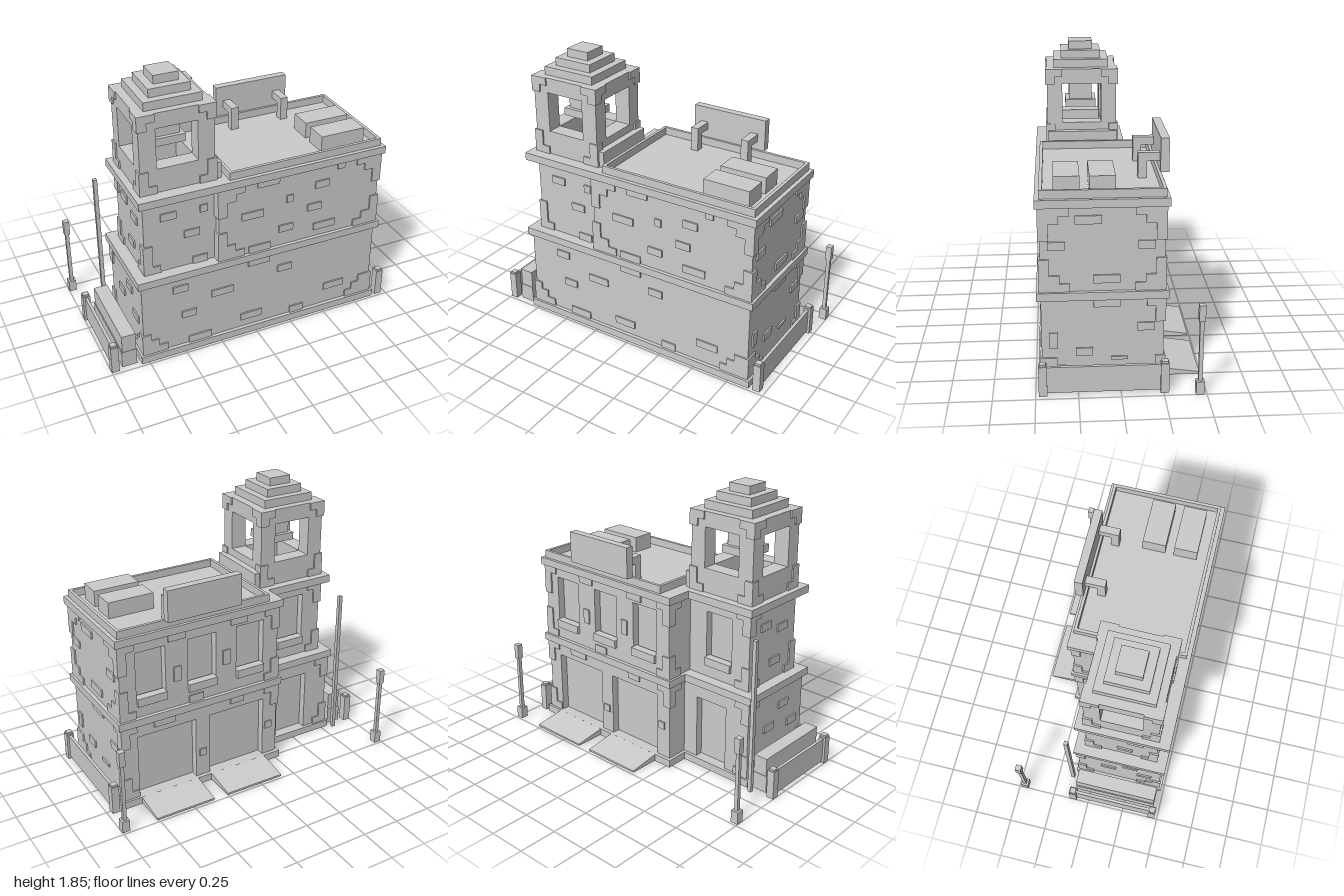
import * as THREE from 'three';

export function createModel() {
  const model = new THREE.Group();
  const mat = new THREE.MeshStandardMaterial({ color: 0xcccccc, flatShading: true });
  const openMat = new THREE.MeshStandardMaterial({ color: 0xcccccc, flatShading: true, side: THREE.DoubleSide });

  const add = (name, geo) => {
    const m = new THREE.Mesh(geo, mat);
    m.name = name;
    model.add(m);
    return m;
  };
  // box given by its ranges on each axis
  const box = (name, x0, x1, y0, y1, z0, z1) => {
    const g = new THREE.BoxGeometry(x1 - x0, y1 - y0, z1 - z0);
    g.translate((x0 + x1) / 2, (y0 + y1) / 2, (z0 + z1) / 2);
    return add(name, g);
  };
  // upright wall with rectangular holes [x0, x1, y0, y1]
  const wall = (name, x0, x1, y0, y1, z0, depth, holes) => {
    const rect = (P, a, b, c, d) => {
      const p = new P();
      p.moveTo(a, c); p.lineTo(b, c); p.lineTo(b, d); p.lineTo(a, d); p.closePath();
      return p;
    };
    const s = rect(THREE.Shape, x0, x1, y0, y1);
    holes.forEach(h => s.holes.push(rect(THREE.Path, ...h)));
    const g = new THREE.ExtrudeGeometry(s, { depth, bevelEnabled: false });
    g.translate(0, 0, z0);
    return add(name, g);
  };
  // stepped corner stones: one block per row, growing up (dir 1) or down (dir -1)
  const T = 0.01, ROW = 0.05;
  const quoin = (cx, cz, sx, sz, y, dir, widthsX, widthsZ = widthsX) => widthsZ.forEach((wz, i) => {
    const xa = cx + sx * T, xb = cx - sx * (widthsX[i] ?? 0.05), za = cz + sz * T, zb = cz - sz * wz;
    const ya = y + dir * i * ROW, yb = ya + dir * ROW;
    box('cornerStone', Math.min(xa, xb), Math.max(xa, xb), Math.min(ya, yb), Math.max(ya, yb),
      Math.min(za, zb), Math.max(za, zb));
  });

  // ground floor
  const D = 0.05, G = 0.045;
  box('lowerMainWalls', -0.26, 0.87, G, 0.6, -0.255 + D, 0.46);
  wall('lowerMainBackWall', -0.26, 0.87, G, 0.6, -0.255, D,
    [[-0.155, 0.255, 0.05, 0.48], [0.355, 0.765, 0.05, 0.48]]);
  box('lowerWingWalls', -0.775, -0.255, G, 0.6, -0.11 + D, 0.46);
  wall('lowerWingBackWall', -0.775, -0.255, G, 0.6, -0.11, D, [[-0.6, -0.365, 0.05, 0.48]]);

  // upper floor
  const windows = [[0.56, 0.76], [0.205, 0.405], [-0.145, 0.055]];
  box('upperMainWalls', -0.255, 0.87, 0.6, 1.15, -0.255 + D, 0.46);
  wall('upperMainBackWall', -0.255, 0.87, 0.6, 1.15, -0.255, D,
    windows.map(([a, b]) => [a, b, 0.72, 1.06]));
  box('upperWingWalls', -0.725, -0.255, 0.6, 1.15, -0.055 + D, 0.41);
  wall('upperWingBackWall', -0.725, -0.255, 0.6, 1.15, -0.055, D, [[-0.59, -0.39, 0.72, 1.06]]);
  windows.forEach(([a, b]) => box('windowSill', a, b, 0.7, 0.755, -0.275, -0.22));
  box('windowSill', -0.59, -0.39, 0.7, 0.755, -0.075, -0.02);

  // L-shaped bands around both floors; the base band is hollow underneath
  const outline = (P, left, back, inset) => {
    const [l, r, m] = [left + inset, 0.895 - inset, -0.28 + inset];
    const [f, b, wb] = [0.484 - inset, -0.28 + inset, back + inset];
    return new P([[l, f], [r, f], [r, b], [m, b], [m, wb], [l, wb]].map(([x, z]) => new THREE.Vector2(x, -z)));
  };
  const band = (name, left, back, y0, y1, hollow) => {
    const s = outline(THREE.Shape, left, back, 0);
    if (hollow) s.holes.push(outline(THREE.Path, left, back, 0.006));
    const g = new THREE.ExtrudeGeometry(s, { depth: y1 - y0, bevelEnabled: false });
    g.rotateX(-Math.PI / 2).translate(0, y0, 0);
    add(name, g);
  };
  band('baseRim', -0.8, -0.13, 0, 0.045, true);
  band('baseTop', -0.8, -0.13, 0.045, 0.05, false);
  band('middleTrim', -0.8, -0.13, 0.57, 0.62, false);
  band('topTrim', -0.77, -0.107, 1.13, 1.18, false);

  // roof edge and roof fittings
  const P = 0.02;
  box('parapetFront', -0.183, 0.87, 1.18, 1.23, 0.458 - P, 0.458);
  box('parapetBack', -0.183, 0.87, 1.18, 1.23, -0.26, -0.26 + P);
  box('parapetLeft', 0.87 - P, 0.87, 1.18, 1.23, -0.24, 0.438);
  box('parapetRight', -0.183, -0.183 + P, 1.18, 1.23, -0.24, 0.438);
  box('roofLedge', -0.255, -0.21, 1.18, 1.285, -0.05, 0.4);
  for (const z of [0.022, 0.227]) box('roofUnit', 0.485, 0.79, 1.18, 1.285, z, z + 0.15);
  box('signBoard', 0.05, 0.56, 1.23, 1.435, -0.308, -0.256);
  for (const x of [0.1, 0.46]) {
    box('signBracketLeg', x, x + 0.05, 1.18, 1.285, -0.18, -0.127);
    box('signBracketArm', x, x + 0.05, 1.285, 1.335, -0.26, -0.127);
  }

  // bell tower: open well, four posts, lintel block, stepped cap
  const [tx0, tx1, tz0, tz1] = [-0.725, -0.255, -0.05, 0.405];
  for (const x of [tx0, tx1 - 0.105]) box('towerSideRail', x, x + 0.105, 1.18, 1.335, tz0, tz1);
  for (const z of [tz0, tz1 - 0.1]) box('towerRail', tx0 + 0.105, tx1 - 0.105, 1.18, 1.335, z, z + 0.1);
  for (const x of [tx0, tx1 - 0.105]) for (const z of [tz0, tz1 - 0.1])
    box('towerPost', x, x + 0.105, 1.335, 1.595, z, z + 0.1);
  box('towerLintel', tx0, tx1, 1.595, 1.692, tz0, tz1);
  [[0.18, 1.692, 1.745], [0.13, 1.745, 1.797], [0.078, 1.797, 1.85]].forEach(([r, y0, y1]) =>
    box('towerCap', -0.49 - r, -0.49 + r, y0, y1, 0.18 - r, 0.18 + r));
  box('bell', -0.568, -0.412, 1.46, 1.6, 0.105, 0.258);
  box('bellRim', -0.593, -0.388, 1.41, 1.46, 0.08, 0.283);
  for (const [x, sx] of [[tx0, -1], [tx1, 1]]) for (const [z, sz] of [[tz0, -1], [tz1, 1]]) {
    quoin(x, z, sx, sz, 1.18, 1, [0.1, 0.05, 0.05]);
    quoin(x, z, sx, sz, 1.692, -1, [0.1, 0.05]);
  }

  // corner stones on both floors
  const big = [0.17, 0.11, 0.05, 0.05], small = [0.1, 0.05, 0.05];
  quoin(-0.775, 0.46, -1, 1, 0.05, 1, [0.16, 0.1, 0.05]);
  quoin(-0.775, -0.11, -1, -1, 0.05, 1, small);
  quoin(-0.775, -0.11, -1, -1, 0.57, -1, small);
  quoin(0.87, 0.46, 1, 1, 0.05, 1, [0.19, 0.14, 0.09]);
  quoin(0.87, -0.255, 1, -1, 0.05, 1, small);
  quoin(0.87, -0.255, 1, -1, 0.57, -1, small);
  quoin(-0.26, -0.255, -1, -1, 0.57, -1, small);
  quoin(-0.725, 0.41, -1, 1, 0.62, 1, [0.1, 0.05, 0.05, 0.05]);
  quoin(-0.725, -0.055, -1, -1, 0.62, 1, small);
  quoin(-0.725, -0.055, -1, -1, 1.13, -1, small);
  for (const [x, sx, wz] of [[-0.255, -1, small], [0.87, 1, big]])
    for (const [y, dir] of [[0.62, 1], [1.13, -1]]) {
      quoin(x, 0.46, sx, 1, y, dir, big);
      quoin(x, -0.255, sx, -1, y, dir, small, wz);
    }

  // raised bricks: [start, bottom, length, height]
  const frontBricks = [
    [-0.57, 0.465, 0.1], [-0.31, 0.36, 0.15], [-0.515, 0.26, 0.1], [-0.47, 0.05, 0.155], [-0.105, 0.105, 0.15],
    [0.255, 0.05, 0.1], [0.51, 0.16, 0.15], [0.155, 0.415, 0.1], [-0.055, 0.52, 0.15],
    [-0.105, 0.875, 0.15], [0.205, 0.93, 0.045], [0.405, 0.98, 0.1], [0.355, 0.825, 0.1], [0.155, 0.72, 0.1],
    [0.405, 0.67, 0.155], [-0.055, 0.62, 0.15], [0, 1.085, 0.15], [0.56, 1.085, 0.05]];
  frontBricks.forEach(([x, y, w]) => box('brick', x, x + w, y, y + ROW, 0.45, 0.46 + T));
  [[-0.615, 0.98, 0.1], [-0.36, 0.98, 0.05], [-0.465, 0.825, 0.1], [-0.415, 0.62, 0.1]]
    .forEach(([x, y, w]) => box('brick', x, x + w, y, y + ROW, 0.4, 0.41 + T));
  const sideBricks = [[0.105, 1.03, 0.155], [0.315, 0.875, 0.1], [0, 0.67, 0.155], [0, 0.52, 0.155],
    [-0.2, 0.365, 0.1], [0.365, 0.26, 0.05, 0.1], [0.16, 0.21, 0.1], [-0.045, 0.18, 0.1, 0.02], [-0.2, 0.875, 0.1]];
  sideBricks.forEach(([z, y, w, h = ROW]) => box('brick', 0.86, 0.87 + T, y, y + h, z, z + w));
  [[0.05, 0.98, 0.1], [0.22, 0.93, 0.1], [0.15, 0.72, 0.1]]
    .forEach(([z, y, w]) => box('brick', -0.725 - T, -0.71, y, y + ROW, z, z + w));
  [[0.2, 0.42, 0.1], [0.05, 0.3, 0.1], [0.3, 0.26, 0.1]]
    .forEach(([z, y, w]) => box('brick', -0.775 - T, -0.76, y, y + ROW, z, z + w));
  [[0.455, 0.8, 0.05, 0.1], [0.105, 0.82, 0.05, 0.1], [0.28, 0.2, 0.05], [0.5, 0.52, 0.15], [0, 0.52, 0.1],
    [0.3, 0.62, 0.1], [-0.02, 1.08, 0.12], [0.42, 1.08, 0.12], [-0.22, 0.25, 0.05]]
    .forEach(([x, y, w, h = ROW]) => box('brick', x, x + w, y, y + h, -0.255 - T, -0.24));

  // sloping ramps before the two garage doors, open underneath
  for (const x of [-0.155, 0.355]) {
    const ramp = box('ramp', x, x + 0.41, 0.005, 0.05, -0.488, -0.278);
    const g = ramp.geometry, p = g.attributes.position;
    for (let i = 0; i < p.count; i++) if (p.getZ(i) < -0.4 && p.getY(i) > 0.03) p.setY(i, 0.018);
    const idx = Array.from(g.index.array);
    idx.splice(18, 6);
    g.setIndex(idx);
    g.clearGroups();
    g.computeVertexNormals();
    ramp.material = openMat;
  }

  // side fences
  for (const [x, z0, z1] of [[-0.975, -0.107, 0.457], [0.945, -0.256, 0.457]]) {
    box('fencePanel', x - 0.01, x + 0.01, 0.015, 0.18, z0, z1);
    for (const z of [z0, z1]) {
      box('fencePost', x - 0.025, x + 0.025, 0, 0.19, z - 0.025, z + 0.025);
      box('fencePostCap', x - 0.019, x + 0.019, 0.19, 0.203, z - 0.019, z + 0.019);
    }
  }

  // street lamps
  for (const x of [-0.975, 0.975]) {
    const part = (name, r, y0, y1) => box(name, x - r, x + r, y0, y1, -0.461 - r, -0.461 + r);
    part('lampBase', 0.025, 0, 0.08);
    part('lampShaft', 0.012, 0.08, 0.465);
    part('lampHead', 0.019, 0.465, 0.565);
  }

  // planter with hedge and a tall pole beside it
  box('planter', -0.923, -0.825, 0, 0.115, -0.1, 0.457);
  box('hedge', -0.917, -0.825, 0.115, 0.235, -0.097, 0.454);
  box('pole', -0.85, -0.825, 0, 1.025, -0.16, -0.135);
  return model;
}
